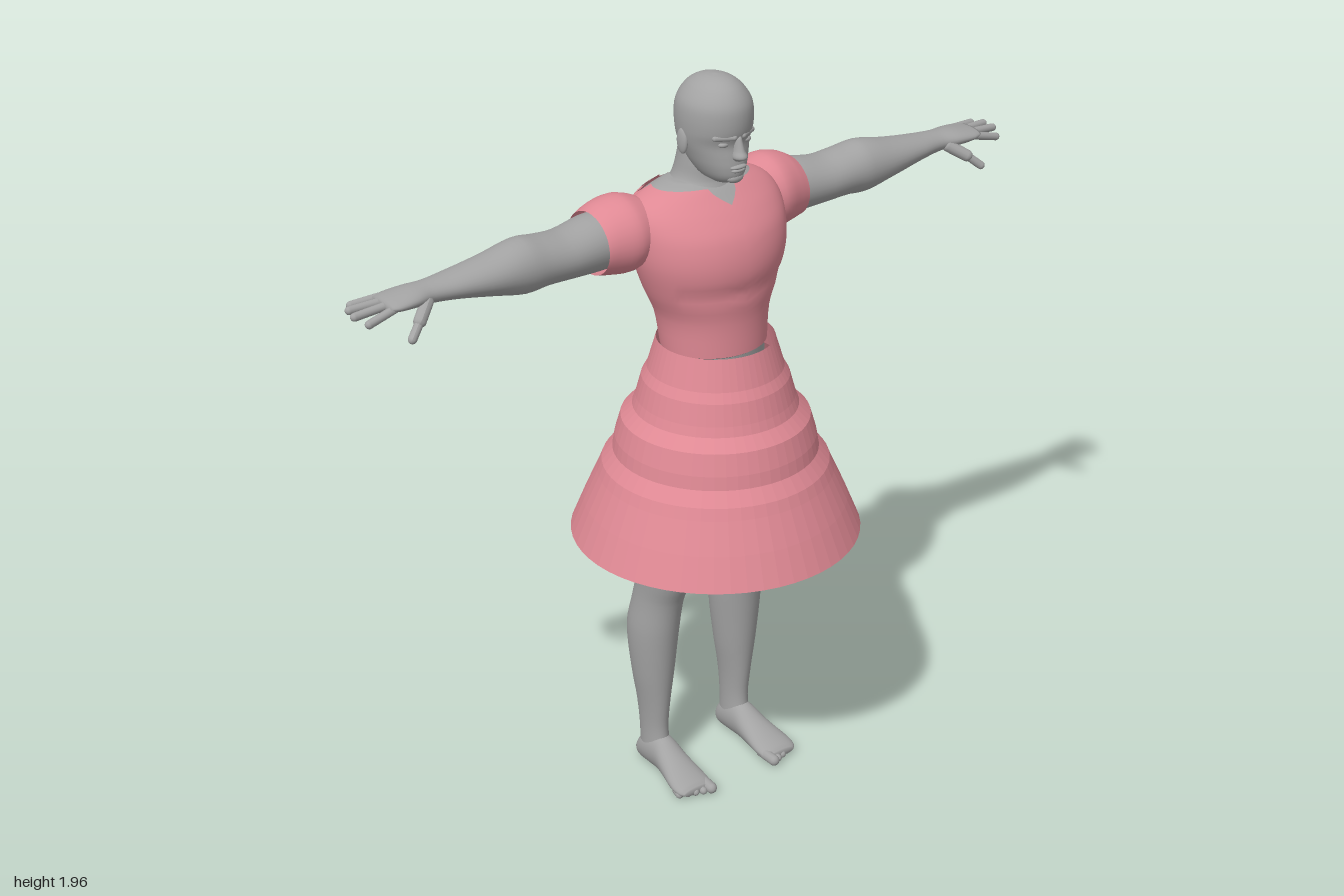
import * as THREE from 'three';
import { mergeGeometries } from 'three/addons/utils/BufferGeometryUtils.js';

// Cubic value of the cross-section [t, minA, maxA, minB, maxB] at t
function sectionAt(secs, t) {
  let i = 0;
  while (i < secs.length - 2 && t > secs[i + 1][0]) i++;
  const p = secs[i], q = secs[i + 1], h = q[0] - p[0], s = (t - p[0]) / h;
  const slope = (k, c) => {
    const a = secs[Math.max(k - 1, 0)], b = secs[Math.min(k + 1, secs.length - 1)];
    return (b[c] - a[c]) / (b[0] - a[0]);
  };
  return [1, 2, 3, 4].map((c) =>
    (2 * s ** 3 - 3 * s * s + 1) * p[c] + (s ** 3 - 2 * s * s + s) * h * slope(i, c) +
    (3 * s * s - 2 * s ** 3) * q[c] + (s ** 3 - s * s) * h * slope(i + 1, c));
}

// Smooth loft. Axis y: A = x, B = z. Axis x: A = z, B = y. Axis z: A = y, B = x.
function loft(axis, secs, { seg = 32, sub = 4, top = null, capped = true, warp = null } = {}) {
  const place = {
    y: (t, a, b) => [a, t, b],
    x: (t, a, b) => [t, b, a],
    z: (t, a, b) => [b, a, t],
  }[axis];
  const t0 = secs[0][0], t1 = secs[secs.length - 1][0];
  const ts = [];
  secs.forEach((s, i) => {
    if (!i) return ts.push(t0);
    for (let k = 1; k <= sub; k++) ts.push(secs[i - 1][0] + (s[0] - secs[i - 1][0]) * k / sub);
  });
  const pos = [], idx = [], rows = ts.length;
  for (const tr of ts) {
    for (let j = 0; j < seg; j++) {
      const ang = j / seg * Math.PI * 2;
      const t = top ? t0 + (tr - t0) * (top(ang) - t0) / (t1 - t0) : tr;
      const [a0, a1, b0, b1] = sectionAt(secs, t);
      const p = place(t, (a0 + a1) / 2 + (a1 - a0) / 2 * Math.cos(ang),
        (b0 + b1) / 2 + (b1 - b0) / 2 * Math.sin(ang));
      if (warp) warp(p);
      pos.push(...p);
    }
  }
  for (let i = 0; i < rows - 1; i++) {
    for (let j = 0; j < seg; j++) {
      const a = i * seg + j, b = i * seg + (j + 1) % seg;
      idx.push(a, a + seg, b, b, a + seg, b + seg);
    }
  }
  if (capped) {
    [0, rows - 1].forEach((r, e) => {
      const [a0, a1, b0, b1] = sectionAt(secs, ts[r]);
      const c = pos.length / 3;
      pos.push(...place(ts[r], (a0 + a1) / 2, (b0 + b1) / 2));
      for (let j = 0; j < seg; j++) {
        const a = r * seg + j, b = r * seg + (j + 1) % seg;
        if (e) idx.push(c, b, a); else idx.push(c, a, b);
      }
    });
  }
  const g = new THREE.BufferGeometry();
  g.setAttribute('position', new THREE.Float32BufferAttribute(pos, 3));
  g.setIndex(idx);
  g.computeVertexNormals();
  return g;
}

// Rounded rod between two points, for fingers and toes
function rod(from, to, r) {
  const a = new THREE.Vector3(...from), b = new THREE.Vector3(...to), d = b.clone().sub(a);
  const g = new THREE.CapsuleGeometry(r, d.length(), 5, 12);
  g.applyQuaternion(new THREE.Quaternion().setFromUnitVectors(new THREE.Vector3(0, 1, 0), d.normalize()));
  return g.translate(...a.add(b).multiplyScalar(0.5).toArray());
}

const blob = (x, y, z, rx, ry, rz) =>
  new THREE.SphereGeometry(1, 18, 12).scale(rx, ry, rz).translate(x, y, z);

function mirrored(geo) {
  const g = geo.clone().scale(-1, 1, 1), ix = g.index.array;
  for (let i = 0; i < ix.length; i += 3) [ix[i], ix[i + 1]] = [ix[i + 1], ix[i]];
  g.computeVertexNormals();
  return g;
}

export function createModel() {
  const model = new THREE.Group();
  const skin = new THREE.MeshStandardMaterial({ color: 0xa3a3a3 });
  skin.name = 'greySkin';
  const cloth = new THREE.MeshStandardMaterial({ color: 0xdf8994, side: THREE.DoubleSide });
  cloth.name = 'pinkCloth';
  const add = (name, geo, mat) => {
    const m = new THREE.Mesh(geo, mat);
    m.name = name;
    model.add(m);
  };
  const pair = (name, geo, mat) => {
    add(name + 'Left', geo, mat);
    add(name + 'Right', mirrored(geo), mat);
  };
  const sym = (rows) => rows.map(([y, w, z0, z1]) => [y, -w, w, z0, z1]);

  // Head and face
  add('head', loft('y', sym([
    [1.698, 0.025, 0, 0.06], [1.712, 0.045, -0.05, 0.085], [1.74, 0.062, -0.08, 0.092],
    [1.77, 0.074, -0.097, 0.09], [1.8, 0.084, -0.108, 0.087], [1.83, 0.089, -0.114, 0.097],
    [1.87, 0.09, -0.114, 0.1], [1.9, 0.084, -0.106, 0.095], [1.93, 0.064, -0.085, 0.076],
    [1.948, 0.042, -0.058, 0.052], [1.956, 0.022, -0.03, 0.028], [1.959, 0.004, -0.004, 0.004],
  ])), skin);
  add('nose', loft('y', sym([
    [1.762, 0.01, 0.07, 0.098], [1.773, 0.018, 0.07, 0.117], [1.79, 0.013, 0.07, 0.109],
    [1.825, 0.008, 0.07, 0.096],
  ]), { seg: 16 }), skin);
  add('lips', mergeGeometries([
    blob(0, 1.746, 0.089, 0.024, 0.006, 0.011), blob(0, 1.737, 0.088, 0.02, 0.006, 0.01),
  ]), skin);
  add('chin', blob(0, 1.715, 0.075, 0.024, 0.014, 0.016), skin);
  pair('eye', blob(0.034, 1.806, 0.073, 0.015, 0.008, 0.012), skin);
  pair('brow', rod([0.014, 1.824, 0.09], [0.055, 1.824, 0.069], 0.008), skin);
  pair('ear', blob(0.086, 1.8, -0.02, 0.009, 0.033, 0.019).rotateX(0), skin);

  // Neck and the shoulders showing above the neckline
  add('neck', loft('y', sym([
    [1.63, 0.13, -0.145, 0.035], [1.665, 0.095, -0.138, 0.022], [1.69, 0.074, -0.13, 0.012],
    [1.73, 0.066, -0.118, 0.01], [1.79, 0.062, -0.1, 0],
  ])), skin);

  // Torso, with a hollow along the spine and a soft crease under the chest
  const torso = [
    [1.26, 0.14, -0.135, 0.117], [1.35, 0.152, -0.15, 0.117], [1.42, 0.182, -0.168, 0.126],
    [1.5, 0.208, -0.184, 0.134], [1.57, 0.216, -0.188, 0.118], [1.62, 0.212, -0.183, 0.083],
    [1.655, 0.185, -0.165, 0.048], [1.68, 0.13, -0.14, 0.02], [1.69, 0.09, -0.12, 0],
  ];
  const warp = (p) => {
    if (p[2] < -0.05) p[2] += 0.016 * Math.exp(-((p[0] / 0.03) ** 2));
    if (p[2] > 0.05) p[2] -= 0.006 * Math.exp(-(((p[1] - 1.43) / 0.018) ** 2));
  };
  add('upperBody', loft('y', sym(torso.map(([y, w, a, b]) =>
    [y - 0.004, w - 0.006, a + 0.006, b - 0.006])), { seg: 48, warp }), skin);
  // Bodice neckline: a notch in front and a jagged edge behind
  const neckline = (ang) => {
    const f = Math.abs(ang - Math.PI / 2), b = Math.abs(ang - Math.PI * 1.5);
    const front = 0.038 * Math.max(0, 1 - f / 0.3);
    const back = b < 1.1 ? 0.006 + 0.016 * Math.abs(1 - Math.abs(b / 0.275 % 2 - 1) * 2) : 0;
    return 1.677 - front - back;
  };
  add('bodice', loft('y', sym(torso), { seg: 64, top: neckline, capped: false, warp }), cloth);

  // Puffed sleeves
  pair('sleeve', loft('x', [
    [0.16, -0.15, -0.01, 1.52, 1.65], [0.19, -0.184, 0.004, 1.49, 1.664],
    [0.23, -0.195, 0.012, 1.476, 1.673], [0.28, -0.193, -0.002, 1.479, 1.662],
    [0.312, -0.187, -0.012, 1.485, 1.645],
  ], { capped: false }), cloth);

  // Arms and hands
  pair('arm', loft('x', [
    [0.2, -0.17, -0.02, 1.5, 1.64], [0.31, -0.176, -0.018, 1.496, 1.638],
    [0.4, -0.165, -0.015, 1.502, 1.625], [0.47, -0.157, -0.013, 1.505, 1.632],
    [0.53, -0.15, -0.01, 1.502, 1.641], [0.62, -0.14, -0.015, 1.522, 1.624],
    [0.72, -0.127, -0.028, 1.542, 1.61], [0.79, -0.117, -0.038, 1.55, 1.604],
    [0.84, -0.125, -0.027, 1.555, 1.602], [0.89, -0.13, -0.025, 1.56, 1.595],
    [0.915, -0.122, -0.032, 1.566, 1.59],
  ]), skin);
  const fingers = [[-0.116, 0.965, -0.127, 1.572], [-0.091, 0.985, -0.1, 1.574],
    [-0.066, 0.99, -0.069, 1.57], [-0.041, 0.972, -0.036, 1.558]];
  pair('fingers', mergeGeometries(fingers.map(([z, x, zt, y]) =>
    rod([0.89, 1.578, z], [x, y, zt], 0.0105))), skin);
  pair('thumb', mergeGeometries([
    rod([0.81, 1.567, -0.045], [0.85, 1.54, -0.015], 0.016),
    rod([0.85, 1.54, -0.015], [0.884, 1.51, 0.004], 0.011),
  ]), skin);

  // Skirt with faceted bands
  const skirt = [[0.375, 0.735], [0.34, 0.82], [0.304, 0.9], [0.292, 0.93], [0.264, 0.965],
    [0.258, 1.0], [0.242, 1.055], [0.212, 1.085], [0.203, 1.11], [0.188, 1.165], [0.174, 1.19],
    [0.15, 1.27]].map(([r, y]) => new THREE.Vector2(r, y));
  const skirtGeo = new THREE.LatheGeometry(skirt, 56).toNonIndexed();
  skirtGeo.computeVertexNormals();
  add('skirt', skirtGeo, cloth);

  // Hips and legs
  add('hips', loft('y', sym([
    [0.93, 0.11, -0.11, 0.05], [1, 0.18, -0.145, 0.085], [1.1, 0.172, -0.145, 0.095],
    [1.2, 0.145, -0.13, 0.1], [1.28, 0.133, -0.128, 0.105],
  ])), skin);
  pair('leg', loft('y', [
    [0.04, 0.102, 0.168, -0.142, -0.035], [0.12, 0.104, 0.168, -0.142, -0.046],
    [0.2, 0.099, 0.175, -0.148, -0.04], [0.3, 0.085, 0.19, -0.16, -0.03],
    [0.43, 0.073, 0.2, -0.172, -0.015], [0.53, 0.07, 0.192, -0.153, 0.002],
    [0.6, 0.062, 0.192, -0.139, 0.03], [0.73, 0.038, 0.201, -0.138, 0.055],
    [0.9, 0.006, 0.2, -0.148, 0.08], [1.05, 0.003, 0.175, -0.14, 0.085],
  ]), skin);

  // Feet and toes
  pair('foot', loft('z', [
    [-0.152, 0.015, 0.045, 0.12, 0.155], [-0.135, 0.002, 0.075, 0.106, 0.165],
    [-0.1, 0, 0.1, 0.1, 0.171], [-0.05, 0, 0.105, 0.098, 0.174], [0, 0.001, 0.078, 0.094, 0.184],
    [0.06, 0, 0.05, 0.089, 0.198], [0.095, 0.002, 0.036, 0.092, 0.196], [0.108, 0.008, 0.026, 0.1, 0.185],
  ]), skin);
  pair('toes', mergeGeometries([0, 1, 2, 3, 4].map((i) => {
    const x = 0.105 + i * 0.0205, r = i ? 0.0105 : 0.015;
    return rod([x, r + 0.004, 0.07], [x + 0.002, r + 0.001, 0.119 - i * 0.008], r);
  })), skin);

  return model;
}
